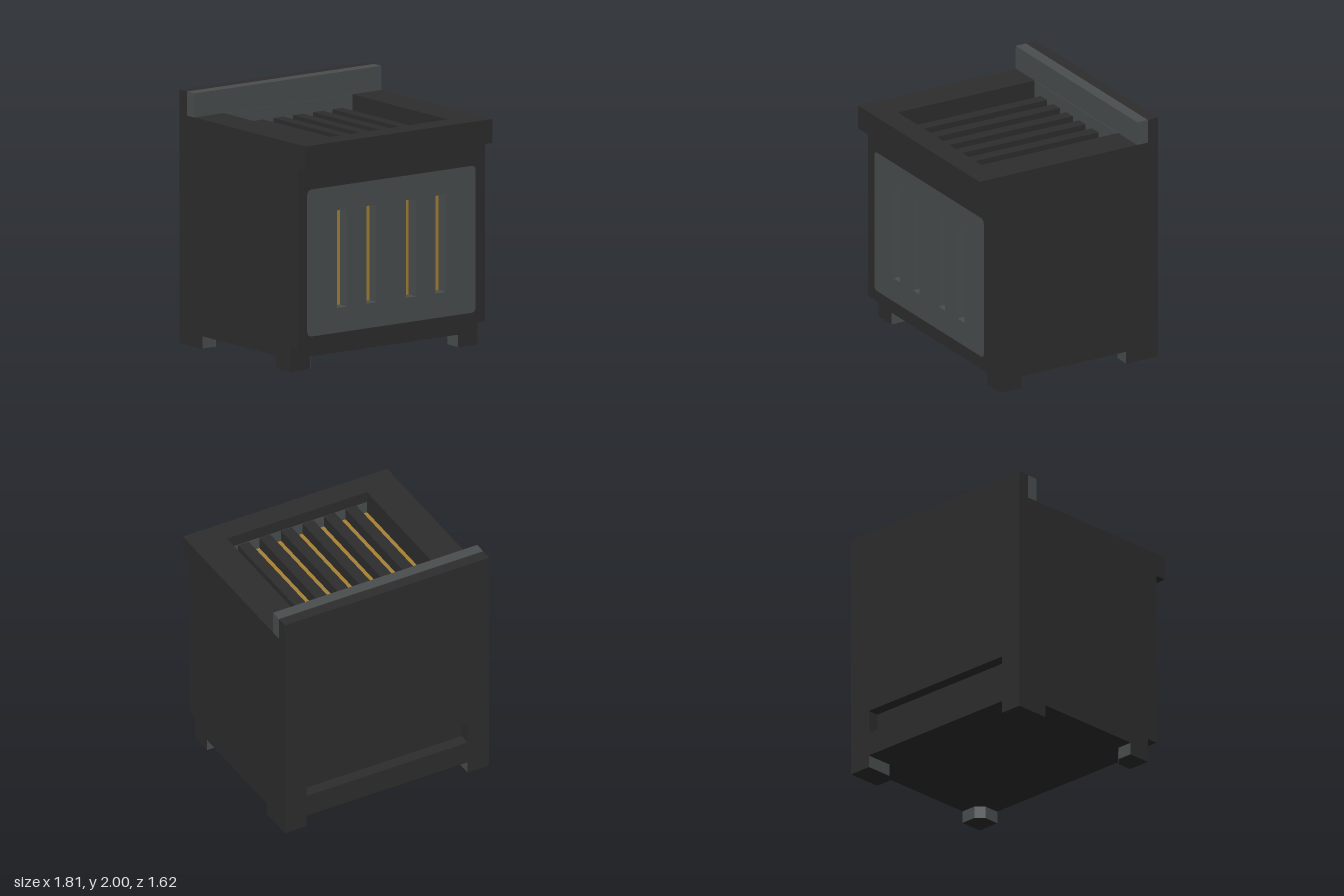
import * as THREE from 'three';

export function createModel() {
  const model = new THREE.Group();
  const mat = (name, color) => {
    const m = new THREE.MeshStandardMaterial({ color });
    m.name = name;
    return m;
  };
  const iron = mat('darkIron', 0x2d2d2d);
  const steel = mat('greySteel', 0x4a4e4e);
  const ember = mat('emberGold', 0xa68135);

  const add = (name, geometry, material) => {
    const mesh = new THREE.Mesh(geometry, material);
    mesh.name = name;
    model.add(mesh);
    return mesh;
  };
  // Box given by its minimum and maximum on each axis
  const box = (name, material, x0, x1, y0, y1, z0, z1) =>
    add(name, new THREE.BoxGeometry(x1 - x0, y1 - y0, z1 - z0), material)
      .position.set((x0 + x1) / 2, (y0 + y1) / 2, (z0 + z1) / 2);
  // Rectangle outline with cut corners
  const rect = (Type, x0, x1, y0, y1, c = 0) => {
    const p = c
      ? [[x0 + c, y0], [x1 - c, y0], [x1 - c * 0.3, y0 + c * 0.3], [x1, y0 + c],
        [x1, y1 - c], [x1 - c * 0.3, y1 - c * 0.3], [x1 - c, y1], [x0 + c, y1],
        [x0 + c * 0.3, y1 - c * 0.3], [x0, y1 - c], [x0, y0 + c], [x0 + c * 0.3, y0 + c * 0.3]]
      : [[x0, y0], [x1, y0], [x1, y1], [x0, y1]];
    return new Type(p.map(([x, y]) => new THREE.Vector2(x, y)));
  };
  const plate = (name, material, shape, z0, z1) =>
    add(name, new THREE.ExtrudeGeometry(shape, { depth: z1 - z0, bevelEnabled: false }), material)
      .position.z = z0;

  const W = 0.905, IN = 0.62;

  // Body shell around the firebox
  for (const s of [-1, 1]) {
    const [a, b] = s > 0 ? [IN, W] : [-W, -IN];
    box('sideWall', iron, a, b, 0.1, 1.81, -0.715, IN);
  }
  box('base', iron, -IN, IN, 0.1, 0.2, -0.715, IN);
  box('innerBackWall', iron, -IN, IN, 0.2, 1.81, -0.715, -IN);
  box('topFrontLip', iron, -W, W, 1.62, 1.81, IN, 0.81);

  // Back plate with a long vent recess
  const back = rect(THREE.Shape, -W, W, 0.1, 2);
  back.holes.push(rect(THREE.Path, -0.715, 0.715, 0.29, 0.48));
  plate('backPlate', iron, back, -0.81, -0.715);

  // Front frame and slotted door set flush in it
  const frame = rect(THREE.Shape, -W, W, 0.195, 1.62);
  frame.holes.push(rect(THREE.Path, -0.815, 0.815, 0.28, 1.44, 0.035));
  plate('frontFrame', iron, frame, IN, 0.715);
  const door = rect(THREE.Shape, -0.815, 0.815, 0.28, 1.44, 0.035);
  for (const x of [-0.478, -0.192, 0.188, 0.475])
    door.holes.push(rect(THREE.Path, x - 0.049, x + 0.049, 0.475, 1.245));
  plate('door', steel, door, IN, 0.715);

  // Glowing firebox and the grate bars above it
  box('embers', ember, -IN, IN, 0.2, 1.62, -IN, IN);
  for (let i = 0; i < 6; i++) {
    const x = (i - 2.5) * 0.191;
    box('grateBar', iron, x - 0.048, x + 0.048, 1.62, 1.715, -IN, IN);
  }

  // Backsplash and steel lining of the grate well
  box('backsplash', steel, -W, W, 1.81, 2, -0.715, -IN);
  box('rearLining', steel, -IN, IN, 1.62, 1.81, -IN, -IN + 0.004);
  box('frontLining', steel, -IN, IN, 1.62, 1.715, IN - 0.004, IN);

  // Feet with a cut inner corner, steel inner facing and a round pad
  const c = 0.06;
  for (const s of [-1, 1]) {
    for (const [outer, inner] of [[0.62, 0.43], [-0.81, -0.52]]) {
      const d = Math.sign(inner - outer);
      const path = [[0.715, outer], [0.715, inner - d * c], [0.715 + c, inner], [W, inner]]
        .map(([x, z]) => new THREE.Vector2(s * x, -z));
      const foot = new THREE.Shape([...path, new THREE.Vector2(s * W, -outer)]);
      add('foot', new THREE.ExtrudeGeometry(foot, { depth: 0.1, bevelEnabled: false }), iron)
        .rotation.x = -Math.PI / 2;
      for (let i = 0; i < 3; i++) {
        const a = path[i], b = path[i + 1], len = a.distanceTo(b);
        // The outer stretch of each side stays dark
        const facing = add('footFacing', new THREE.BoxGeometry(len * 0.98, 0.096, 0.004), steel);
        facing.position.set((a.x + b.x) / 2, 0.05, -(a.y + b.y) / 2);
        facing.rotation.y = Math.atan2(b.y - a.y, b.x - a.x);
      }
      const pad = add('footPad', new THREE.CylinderGeometry(0.045, 0.045, 0.004, 16), iron);
      pad.position.set(s * 0.815, 0.002, (outer + inner) / 2);
    }
  }
  return model;
}
